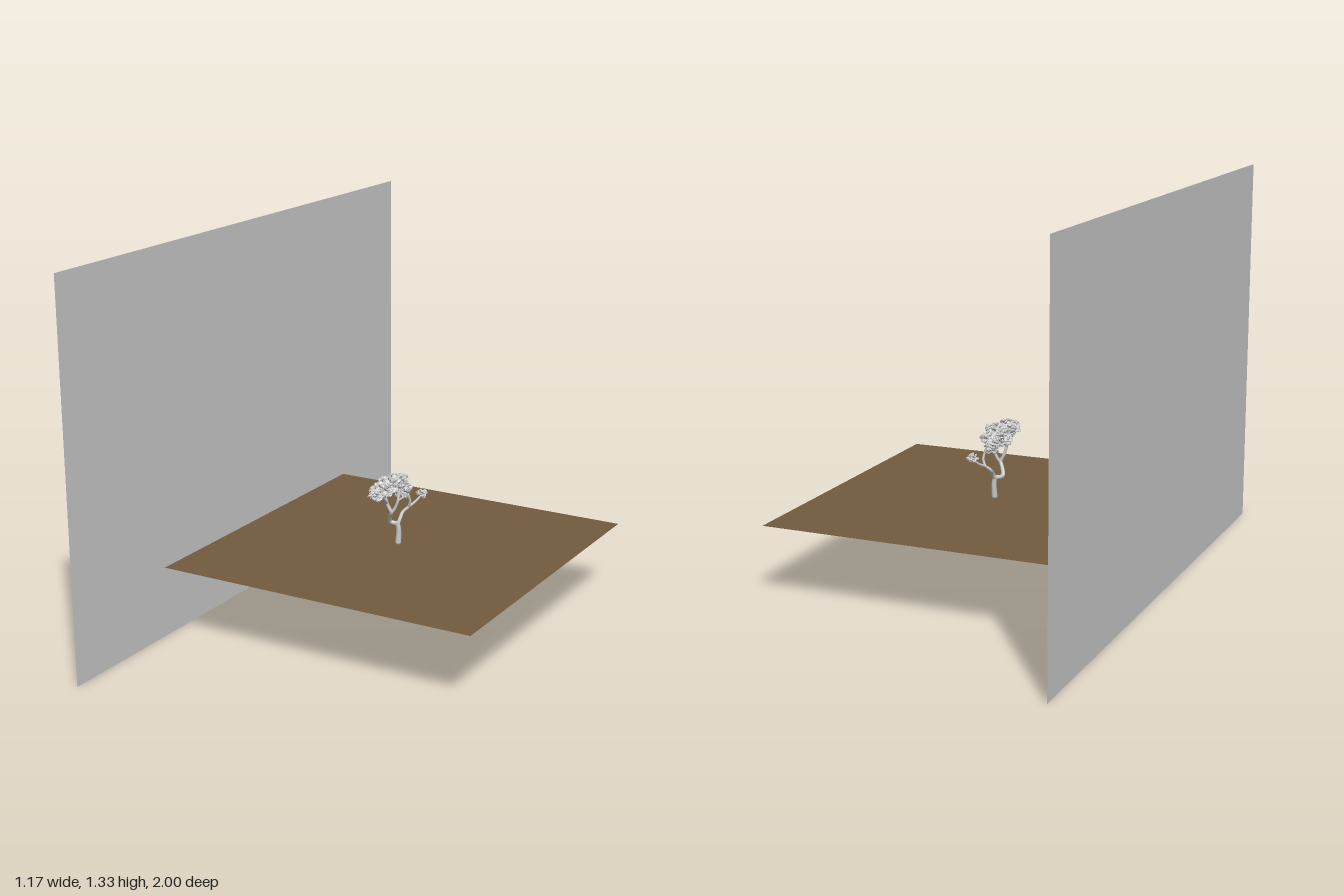
import * as THREE from 'three';
import { mergeGeometries } from 'three/addons/utils/BufferGeometryUtils.js';

const grey = new THREE.MeshStandardMaterial({ color: 0xcccccc, side: THREE.DoubleSide });
const brown = new THREE.MeshStandardMaterial({ color: 0x735c40, side: THREE.DoubleSide });

// Small seeded generator for the foliage
let seed = 7;
const rand = () => {
  seed = (seed * 16807) % 2147483647;
  return seed / 2147483647;
};
const spread = () => rand() * 2 - 1;

// Tapered tube through points, from radius r0 to r1
function limb(points, r0, r1, sides = 8) {
  const curve = new THREE.CatmullRomCurve3(points.map(p => new THREE.Vector3(...p)));
  const rings = points.length * 4;
  const geo = new THREE.TubeGeometry(curve, rings, 1, sides);
  const pos = geo.attributes.position;
  const v = new THREE.Vector3();
  for (let i = 0; i < pos.count; i++) {
    const t = Math.floor(i / (sides + 1)) / rings;
    const c = curve.getPointAt(t);
    v.fromBufferAttribute(pos, i).sub(c).multiplyScalar(r0 + (r1 - r0) * t).add(c);
    pos.setXYZ(i, v.x, v.y, v.z);
  }
  return geo;
}

// Pad of small flattened leaves filling an ellipsoid
function foliage([x, y, z, rx, ry, rz, count]) {
  const leaves = [];
  for (let i = 0; i < count; i++) {
    const d = new THREE.Vector3(spread(), spread(), spread());
    if (d.lengthSq() > 1) d.normalize();
    const s = 0.006 + rand() * 0.005;
    const leaf = new THREE.IcosahedronGeometry(1, 0);
    leaf.scale(s, s * 0.45, s * 1.2);
    leaf.rotateX(spread()).rotateZ(spread()).rotateY(spread() * 3);
    leaf.translate(x + d.x * rx, y + d.y * ry, z + d.z * rz);
    leaves.push(leaf);
  }
  return mergeGeometries(leaves);
}

export function createModel() {
  const model = new THREE.Group();
  const add = (name, geo, material = grey, parent = model) => {
    const mesh = new THREE.Mesh(geo, material);
    mesh.name = name;
    parent.add(mesh);
    return mesh;
  };

  // Upright wall on the right side
  add('wall', new THREE.PlaneGeometry(2, 1.333).rotateY(Math.PI / 2).translate(-0.583, 0.667, 0));

  // Ground sheet, level with the foot of the trunk
  add('ground', new THREE.PlaneGeometry(1.142, 1.142).rotateX(-Math.PI / 2)
    .translate(0.013, 0.26, -0.013), brown);

  const tree = new THREE.Group();
  tree.name = 'tree';
  model.add(tree);

  // Trunk with a rounded foot
  add('trunk', limb([[0.012, 0.273, -0.008], [0.013, 0.3, -0.01], [0.012, 0.325, -0.01],
    [0.006, 0.345, -0.008]], 0.0105, 0.008, 10), grey, tree);
  add('trunkFoot', new THREE.SphereGeometry(0.0105, 10, 8).translate(0.012, 0.273, -0.008), grey, tree);

  // Main limbs
  const limbs = [
    [[[0.009, 0.338, -0.009], [-0.015, 0.345, -0.002], [-0.008, 0.37, 0.012], [0.002, 0.388, 0.022],
      [-0.01, 0.415, 0.026], [-0.018, 0.45, 0.03]], 0.008, 0.005],
    [[[0.009, 0.335, -0.01], [0.012, 0.355, -0.022], [0.012, 0.372, -0.04], [0.026, 0.388, -0.055],
      [0.036, 0.4, -0.08], [0.052, 0.425, -0.112]], 0.007, 0.003],
    [[[0.002, 0.385, 0.021], [0.014, 0.405, 0.015], [0.022, 0.43, 0.012], [0.022, 0.47, 0.0]], 0.006, 0.004],
    [[[0.026, 0.388, -0.055], [0.034, 0.41, -0.052], [0.03, 0.44, -0.045], [0.015, 0.47, -0.05]], 0.005, 0.003],
    [[[-0.012, 0.42, 0.026], [-0.005, 0.445, 0.06], [0.004, 0.47, 0.1], [0.002, 0.48, 0.135]], 0.005, 0.0025],
    [[[0.02, 0.45, 0.006], [0.005, 0.465, -0.03], [-0.012, 0.47, -0.08]], 0.004, 0.0025],
    [[[-0.016, 0.44, 0.028], [-0.028, 0.46, 0.025], [-0.036, 0.475, 0.015]], 0.004, 0.002],
    [[[0.022, 0.43, 0.012], [0.04, 0.445, 0.0], [0.054, 0.465, -0.01]], 0.004, 0.002],
  ];
  limbs.forEach(([points, r0, r1], i) => add('branch' + (i + 1), limb(points, r0, r1), grey, tree));

  // Leaf pads: centre, radii, leaf count
  const pads = [
    [0.002, 0.487, 0.13, 0.022, 0.024, 0.018, 45],
    [0.012, 0.492, 0.09, 0.028, 0.026, 0.028, 70],
    [0.0, 0.492, 0.045, 0.03, 0.026, 0.028, 70],
    [0.015, 0.5, 0.01, 0.034, 0.02, 0.028, 70],
    [-0.012, 0.48, -0.03, 0.022, 0.024, 0.028, 60],
    [-0.015, 0.475, -0.075, 0.018, 0.018, 0.02, 45],
    [0.044, 0.475, -0.005, 0.016, 0.014, 0.022, 30],
    [-0.028, 0.47, 0.01, 0.012, 0.014, 0.022, 30],
    [0.012, 0.448, -0.03, 0.022, 0.018, 0.02, 30],
    [0.05, 0.427, -0.106, 0.016, 0.012, 0.014, 18],
  ];
  pads.forEach((pad, i) => add('leafPad' + (i + 1), foliage(pad), grey, tree));

  // Twigs sticking out of the leaf pads
  const twigs = [];
  for (const [x, y, z, rx, ry, rz] of pads) {
    for (let i = 0; i < 6; i++) {
      const d = new THREE.Vector3(spread(), spread(), spread()).normalize();
      twigs.push(limb([[x, y - ry * 0.3, z], [x + d.x * rx * 0.6, y + d.y * ry * 0.4, z + d.z * rz * 0.6],
        [x + d.x * rx * 1.3, y + d.y * ry * 1.2, z + d.z * rz * 1.3]], 0.003, 0.001, 5));
    }
  }
  add('twigs', mergeGeometries(twigs), grey, tree);

  return model;
}
